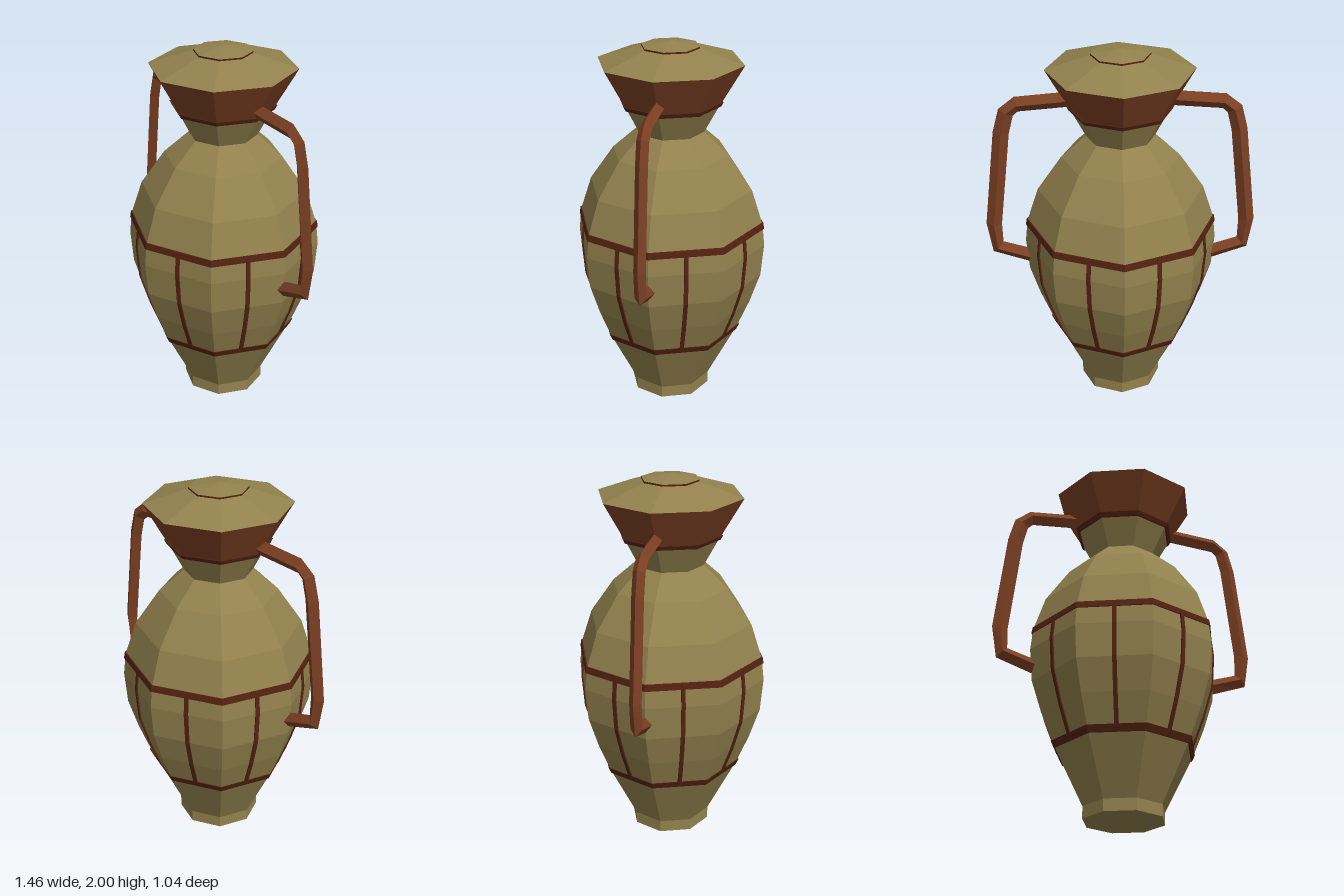
import * as THREE from 'three';

const SIDES = 8;
const FACE = Math.cos(Math.PI / SIDES); // corner radius -> distance to the middle of a side

const clay = new THREE.MeshStandardMaterial({ color: 0x93824e });
clay.name = 'olive clay';
const rust = new THREE.MeshStandardMaterial({ color: 0x7d4023 });
rust.name = 'rust glaze';
const dark = new THREE.MeshStandardMaterial({ color: 0x552211 });
dark.name = 'dark red paint';

// Body outline as [corner radius, height]
const belly = [[0.38, 0.38], [0.45, 0.55], [0.505, 0.72], [0.52, 0.9], [0.507, 1.02]];
const bodyProfile = [
  [0, 0], [0.22, 0], [0.22, 0.065], ...belly,
  [0.445, 1.21], [0.315, 1.4], [0.182, 1.52], [0.262, 1.67],
];

function mesh(name, geometry, material) {
  const flat = geometry.index ? geometry.toNonIndexed() : geometry;
  flat.computeVertexNormals();
  const m = new THREE.Mesh(flat, material);
  m.name = name;
  return m;
}

// Eight-sided turned shape with a corner facing the front
function turned(name, points, material) {
  const profile = points.map(([r, y]) => new THREE.Vector2(r, y));
  return mesh(name, new THREE.LatheGeometry(profile, SIDES), material);
}

// Corner radius of the body at a given height
function radiusAt(y) {
  for (let i = 2; i < bodyProfile.length; i++) {
    const [r0, y0] = bodyProfile[i - 1], [r1, y1] = bodyProfile[i];
    if (y <= y1) return r0 + (r1 - r0) * (y - y0) / (y1 - y0);
  }
  return 0;
}

// Painted ring lying just over the body
function band(name, y0, y1) {
  const a = radiusAt(y0), b = radiusAt(y1), t = 0.007;
  return turned(name, [[a - t, y0], [a + t, y0], [b + t, y1], [b - t, y1]], dark);
}

// Painted upright strip that follows the belly down the middle of one side
function stripe(i) {
  const outer = belly.map(([r, y]) => new THREE.Vector2(r * FACE + 0.008, y));
  const inner = belly.map(([r, y]) => new THREE.Vector2(r * FACE - 0.001, y)).reverse();
  const g = new THREE.ExtrudeGeometry(new THREE.Shape([...outer, ...inner]), {
    depth: 0.022, bevelEnabled: false,
  });
  g.translate(0, 0, -0.011).rotateY((i + 0.5) * Math.PI * 2 / SIDES);
  return mesh('bellyStripe' + (i + 1), g, dark);
}

// Handle: a diamond section swept along a bent path in the x-y plane
function handle(name, side) {
  const path = [
    [0.24, 1.73], [0.54, 1.705], [0.595, 1.66], [0.625, 1.545],
    [0.688, 1.005], [0.672, 0.86], [0.46, 0.79],
  ].map(([x, y]) => new THREE.Vector2(x, y));
  const w = 0.042, d = 0.032;
  const rings = path.map((p, i) => {
    const before = path[Math.max(i - 1, 0)], after = path[Math.min(i + 1, path.length - 1)];
    const t = after.clone().sub(before).normalize();
    const n = new THREE.Vector2(-t.y, t.x); // points to the outside of the bend
    return [[w, 0], [0, d], [-w, 0], [0, -d]].map(([u, z]) =>
      [side * (p.x + n.x * u), p.y + n.y * u, z]);
  });
  const pos = [];
  const tri = (a, b, c) => pos.push(...(side > 0 ? [...a, ...b, ...c] : [...a, ...c, ...b]));
  const quad = (a, b, c, e) => { tri(a, b, c); tri(a, c, e); };
  for (let i = 0; i < rings.length - 1; i++) {
    for (let k = 0; k < 4; k++) {
      const j = (k + 1) % 4;
      quad(rings[i][k], rings[i][j], rings[i + 1][j], rings[i + 1][k]);
    }
  }
  const [e, f] = [rings[0], rings[rings.length - 1]];
  quad(e[3], e[2], e[1], e[0]);
  quad(f[0], f[1], f[2], f[3]);
  const g = new THREE.BufferGeometry();
  g.setAttribute('position', new THREE.Float32BufferAttribute(pos, 3));
  return mesh(name, g, rust);
}

export function createModel() {
  const jar = new THREE.Group();
  jar.name = 'jar';

  jar.add(turned('body', bodyProfile, clay));

  // Flared rim with a dark line at its foot
  jar.add(turned('rim', [[0.25, 1.67], [0.272, 1.685], [0.39, 1.89]], rust));
  jar.add(turned('rimLine', [[0.24, 1.665], [0.27, 1.665], [0.282, 1.688], [0.26, 1.688]], dark));

  // Shallow lid with a low raised button
  jar.add(turned('lid', [[0.39, 1.89], [0.155, 1.966], [0, 1.968]], clay));
  jar.add(turned('lidButtonEdge', [[0.155, 1.962], [0.155, 1.975]], dark));
  jar.add(turned('lidButton', [[0.155, 1.975], [0, 2]], clay));

  // Painted belly pattern
  jar.add(band('upperBand', 0.995, 1.03));
  jar.add(band('lowerBand', 0.362, 0.398));
  for (let i = 0; i < SIDES; i++) jar.add(stripe(i));

  jar.add(handle('leftHandle', 1), handle('rightHandle', -1));
  return jar;
}
